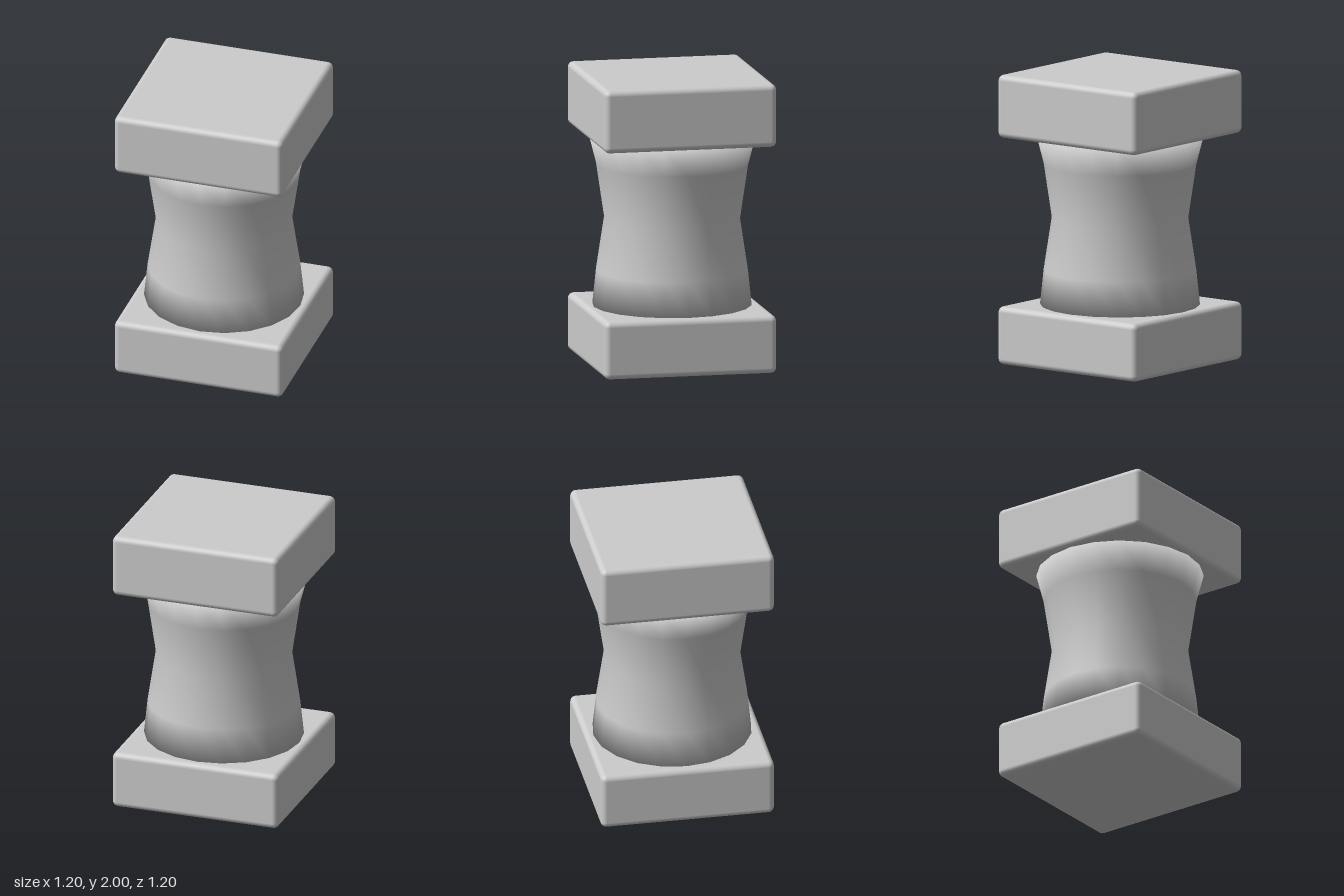
import * as THREE from 'three';
import { RoundedBoxGeometry } from 'three/addons/geometries/RoundedBoxGeometry.js';

export function createModel() {
  const model = new THREE.Group();
  model.name = 'pedestal';
  const stone = new THREE.MeshStandardMaterial({ color: 0xcccccc });
  stone.name = 'light grey stone';

  const add = (name, geometry, y) => {
    const mesh = new THREE.Mesh(geometry, stone);
    mesh.name = name;
    mesh.position.y = y;
    model.add(mesh);
  };

  // Square slabs with softly rounded edges
  const slab = (name, bottom, top) =>
    add(name, new RoundedBoxGeometry(1.2, top - bottom, 1.2, 3, 0.04), (bottom + top) / 2);
  slab('baseSlab', 0, 0.4);
  slab('topSlab', 1.565, 2);

  // Waisted round column; the closed ends share smooth normals with its side
  const profile = [
    [0, 0.39], [0.546, 0.39], [0.52, 0.64], [0.465, 1],
    [0.52, 1.37], [0.572, 1.572], [0, 1.572],
  ].map(([r, y]) => new THREE.Vector2(r, y));
  add('column', new THREE.LatheGeometry(profile, 20), 0);

  return model;
}
